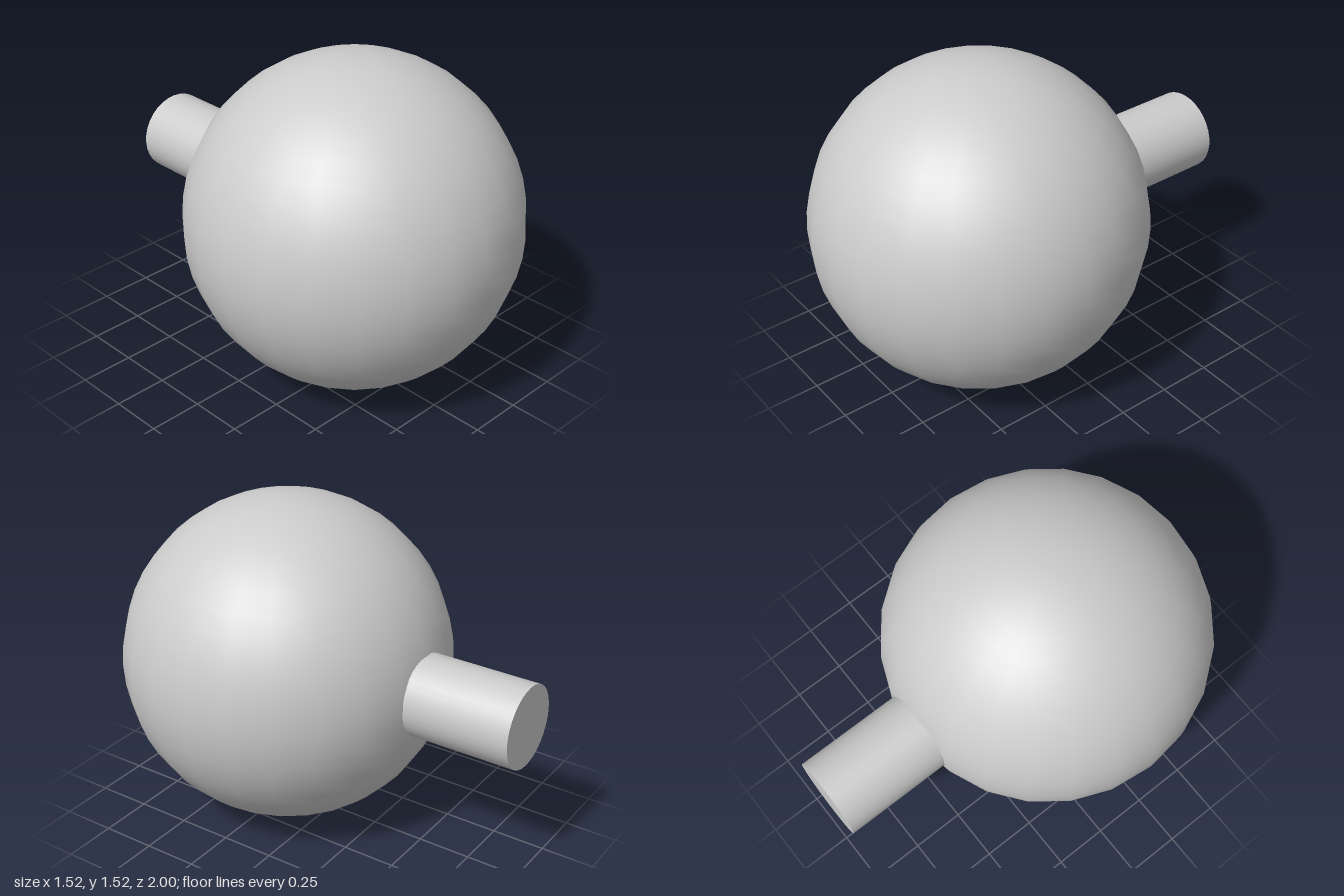
import * as THREE from 'three';

const RADIUS = 0.7625;
const CENTRE_Z = 1 - RADIUS;
const STEM_RADIUS = 0.19;
const STEM_LENGTH = 0.6;

export function createModel() {
  const model = new THREE.Group();
  model.name = 'ballWithStem';
  const material = new THREE.MeshStandardMaterial({ color: 0xcccccc });

  const add = (name, geometry, y, z) => {
    const mesh = new THREE.Mesh(geometry, material);
    mesh.name = name;
    mesh.position.set(0, y, z);
    model.add(mesh);
  };

  // Round body resting on the ground
  add('ball', new THREE.SphereGeometry(RADIUS, 24, 24), RADIUS, CENTRE_Z);

  // Capped stem running from inside the ball to the back
  const stem = new THREE.CylinderGeometry(STEM_RADIUS, STEM_RADIUS, STEM_LENGTH, 32);
  stem.rotateX(Math.PI / 2);
  add('stem', stem, RADIUS, -1 + STEM_LENGTH / 2);

  return model;
}
